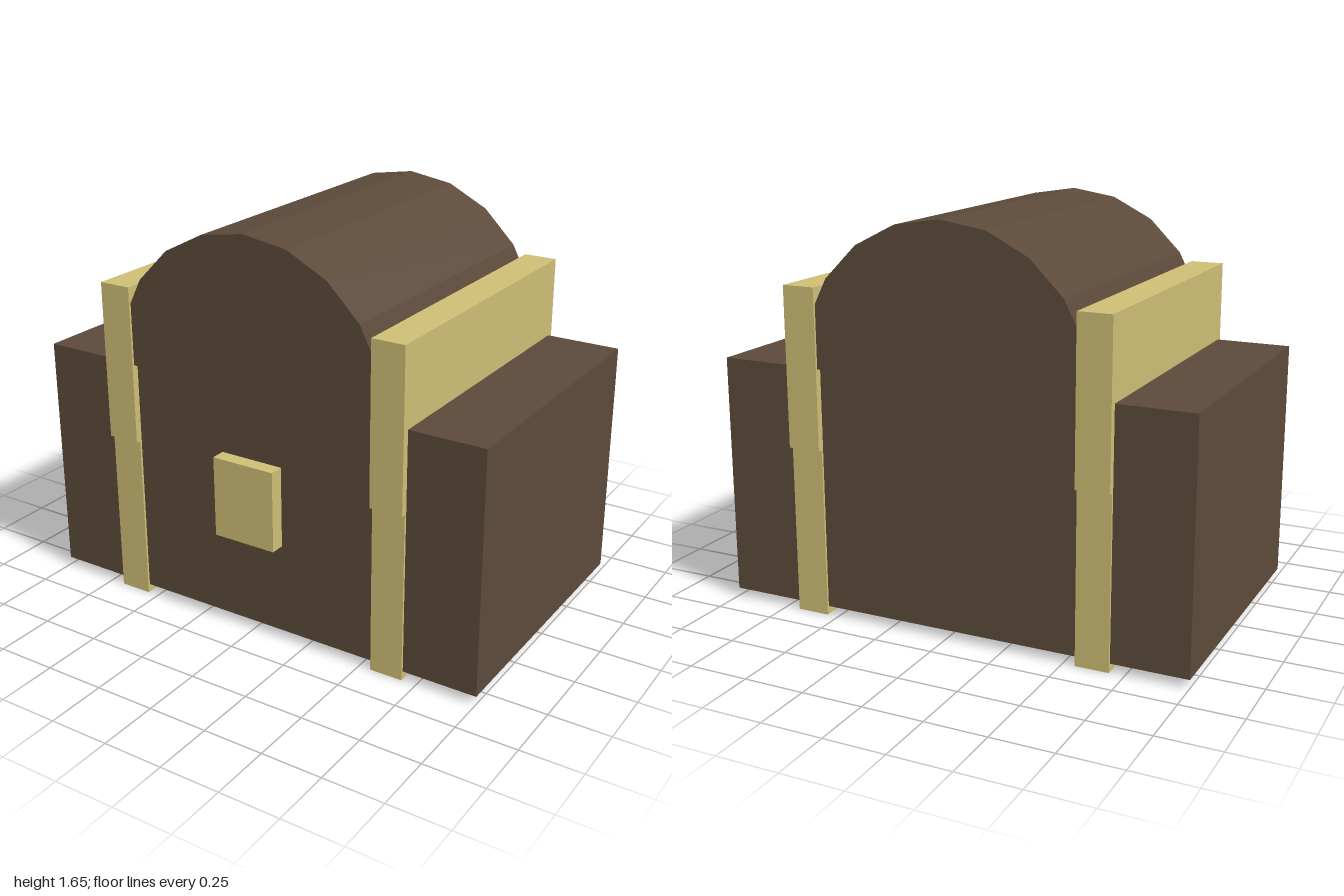
import * as THREE from 'three';

const wood = new THREE.MeshStandardMaterial({ color: 0x5c4a3a, flatShading: true, side: THREE.DoubleSide });
const brass = new THREE.MeshStandardMaterial({ color: 0xcdbd74, flatShading: true });

// Box given by its extents along each axis
function box(name, material, [x0, x1], [y0, y1], [z0, z1]) {
  const mesh = new THREE.Mesh(new THREE.BoxGeometry(x1 - x0, y1 - y0, z1 - z0), material);
  mesh.position.set((x0 + x1) / 2, (y0 + y1) / 2, (z0 + z1) / 2);
  mesh.name = name;
  return mesh;
}

export function createModel() {
  const chest = new THREE.Group();
  chest.name = 'chest';

  // Chest body
  chest.add(box('body', wood, [-1, 1], [0.034, 1.034], [-0.615, 0.585]));

  // Barrel lid: half cylinder lying front to back, open underneath
  const lidGeometry = new THREE.CylinderGeometry(0.615, 0.615, 1.24, 10, 1, false, -Math.PI / 2, Math.PI);
  lidGeometry.rotateX(-Math.PI / 2);
  const lid = new THREE.Mesh(lidGeometry, wood);
  lid.name = 'lid';
  lid.position.set(0, 1.035, -0.015);
  chest.add(lid);

  // Metal straps, a lower and a thicker upper one on each side
  for (const [side, x] of [['left', [0.55, 0.688]], ['right', [-0.688, -0.55]]]) {
    chest.add(box(side + 'LowerStrap', brass, x, [0, 0.72], [-0.625, 0.595]));
    chest.add(box(side + 'UpperStrap', brass, x, [0.702, 1.36], [-0.645, 0.615]));
  }

  // Lock plate
  chest.add(box('lockPlate', brass, [-0.138, 0.138], [0.413, 0.75], [0.56, 0.645]));

  return chest;
}
